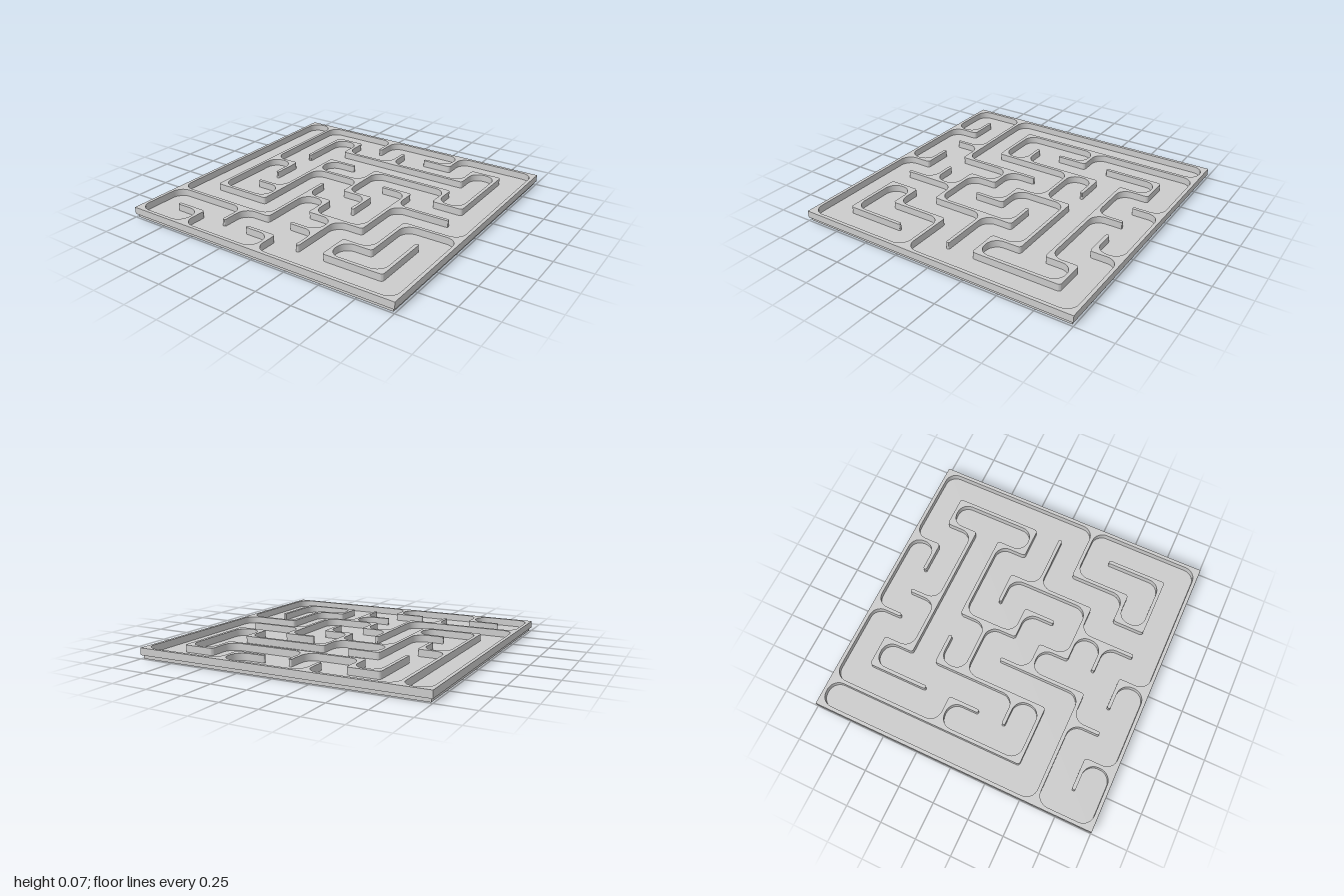
import * as THREE from 'three';
import { toCreasedNormals } from 'three/addons/utils/BufferGeometryUtils.js';

const N = 10;            // cells per side
const PITCH = 0.1976;    // distance between wall centre lines
const T = 0.012;         // half the wall thickness
const BASE_H = 0.025;
const TOP = 0.073;
const FILLET = 0.08;     // inside corners
const ROUND = 0.02;      // outside corners

// Walls as polylines over the grid nodes: column and row, one hex digit each.
const WALLS = [
  '00 a0 aa 0a 00',      // frame
  '10 17 37 33 43', '14 24 25', '26 36', '34 54',
  '66 65 55 53 83 84 94 91 81 82 32 31 21 23',
  '51 52', '40 41', '70 71 61',
  '64 74 77 57 56 46', '75 95', '45 48 08', '67 69', '58 68',
  'a6 86 88 78 79 99 97', '38 39', '19 29 2a', '49 59 5a',
];

// Set of unit wall segments, stored from both ends.
function wallSegments() {
  const set = new Set();
  for (const wall of WALLS) {
    const nodes = wall.split(' ').map((s) => [...s].map((c) => parseInt(c, 16)));
    for (let k = 1; k < nodes.length; k++) {
      let [x, z] = nodes[k - 1];
      const dx = Math.sign(nodes[k][0] - x), dz = Math.sign(nodes[k][1] - z);
      while (x !== nodes[k][0] || z !== nodes[k][1]) {
        set.add([x, z, dx, dz].join());
        x += dx; z += dz;
        set.add([x, z, -dx, -dz].join());
      }
    }
  }
  return set;
}

// Follow the wall faces once round the floor, collecting its corners.
function traceFloor() {
  const segments = wallSegments();
  const corners = [];
  const right = ([x, z]) => [-z, x];
  const back = ([x, z]) => [-x, -z];
  let x = 0, z = 0, d = [1, 0];
  const corner = (a, b, r) => corners.push({
    p: new THREE.Vector2((x - N / 2) * PITCH + T * (a[0] + b[0]), (z - N / 2) * PITCH + T * (a[1] + b[1])), r,
  });
  do {
    x += d[0]; z += d[1];
    const r = right(d);
    const next = [r, d, back(r), back(d)].find((n) => segments.has([x, z, ...n].join()));
    if (next[0] === r[0] && next[1] === r[1]) corner(r, right(next), FILLET);
    else if (next[0] === -r[0] && next[1] === -r[1]) corner(r, right(next), ROUND);
    else if (next[0] === -d[0] && next[1] === -d[1]) {   // free wall end
      corner(r, d, T * 0.95);
      corner(d, back(r), T * 0.95);
    }
    d = next;
  } while (!(x === 0 && z === 0 && d[0] === 1));
  return corners;
}

// Closed path with every corner rounded by its own radius.
function roundedPath(corners) {
  const path = new THREE.Path();
  const n = corners.length;
  corners.forEach(({ p, r }, i) => {
    const toward = (q, s) => q.clone().sub(p).normalize().multiplyScalar(s).add(p);
    const prev = corners[(i + n - 1) % n].p, next = corners[(i + 1) % n].p;
    const a = toward(prev, r), b = toward(next, r);
    const ca = toward(prev, r * 0.448), cb = toward(next, r * 0.448);
    if (i === 0) path.moveTo(a.x, a.y);
    else path.lineTo(a.x, a.y);
    path.bezierCurveTo(ca.x, ca.y, cb.x, cb.y, b.x, b.y);
  });
  path.closePath();
  return path;
}

export function createModel() {
  const group = new THREE.Group();
  group.name = 'maze';
  const material = new THREE.MeshStandardMaterial({ color: 0xcccccc });

  // Floor slab, slightly smaller than the frame
  const base = new THREE.Mesh(new THREE.BoxGeometry(1.972, BASE_H, 1.972), material);
  base.position.y = BASE_H / 2;
  base.name = 'basePlate';
  group.add(base);

  // Frame and walls: a square plate with the whole corridor cut out
  const plate = new THREE.Shape([[-1, -1], [1, -1], [1, 1], [-1, 1]].map(([x, y]) => new THREE.Vector2(x, y)));
  plate.holes.push(roundedPath(traceFloor()));
  const geometry = new THREE.ExtrudeGeometry(plate, { depth: TOP - BASE_H, bevelEnabled: false, curveSegments: 8 });
  geometry.rotateX(Math.PI / 2).translate(0, TOP, 0);
  const walls = new THREE.Mesh(toCreasedNormals(geometry, 0.6), material);
  walls.name = 'mazeWalls';
  group.add(walls);

  return group;
}
